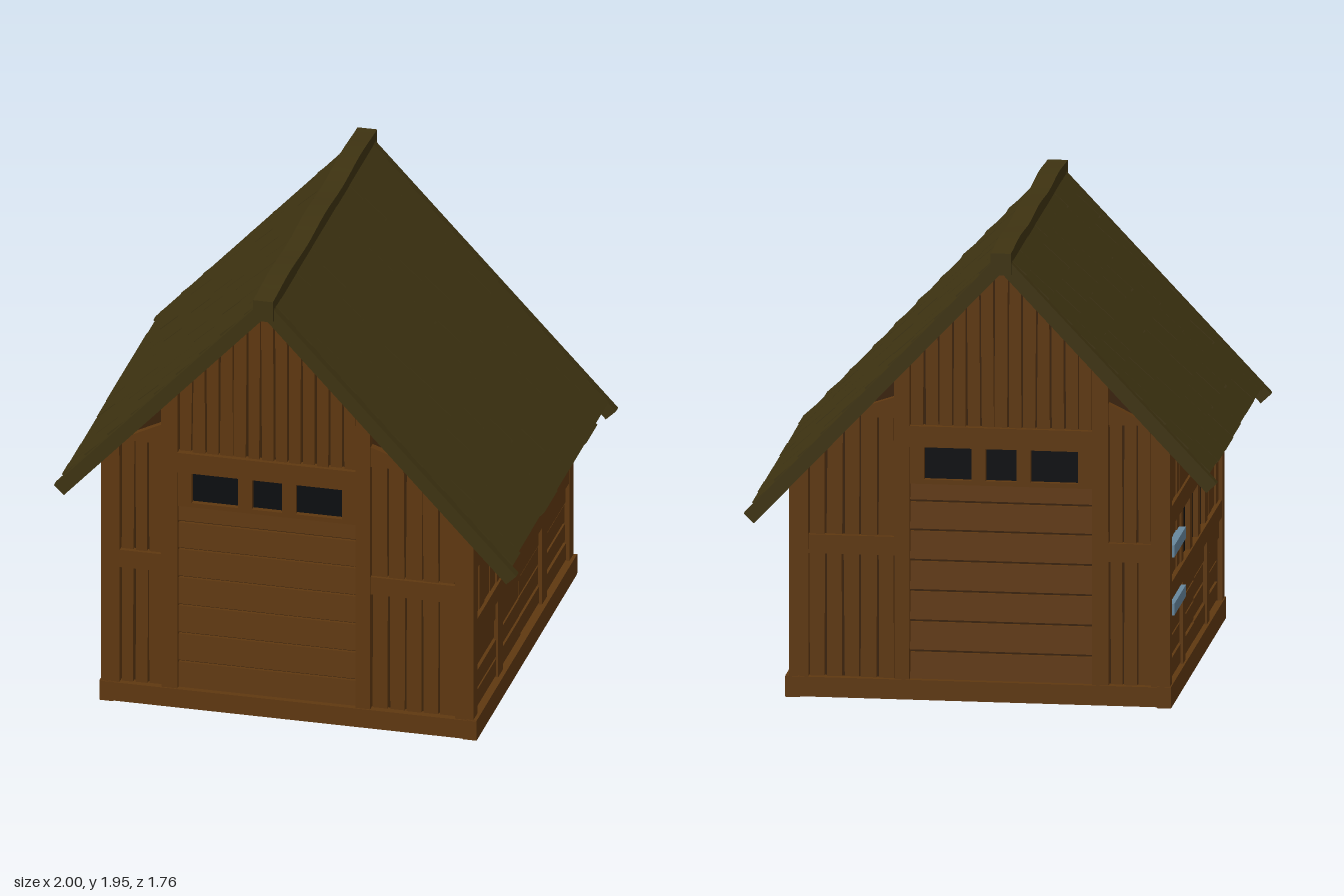
import * as THREE from 'three';

const mat = (name, color) => Object.assign(new THREE.MeshStandardMaterial({ color }), { name });
const wood = mat('brown wood', 0x5f3810);
const darkWood = mat('dark gap wood', 0x3a220a);
const shingleMat = mat('olive roof', 0x3e3311);
const dark = mat('dark glass', 0x0b0d10);
const steel = mat('blue steel', 0x66869c);

// Roof line: ridge slightly off centre, equal slopes
const RX = -0.09, RY = 1.94, SLOPE = 1.06, THETA = Math.atan(SLOPE);
const underRoof = (x) => RY - SLOPE * Math.abs(x - RX) - 0.06;

let seed = 7;
const rand = () => (seed = (seed * 16807) % 2147483647) / 2147483647;
const jit = (a) => (rand() - 0.5) * 2 * a;

function box(parent, name, m, x0, x1, y0, y1, z0, z1) {
  const g = new THREE.BoxGeometry(Math.abs(x1 - x0), Math.abs(y1 - y0), Math.abs(z1 - z0));
  const mesh = new THREE.Mesh(g, m);
  mesh.position.set((x0 + x1) / 2, (y0 + y1) / 2, (z0 + z1) / 2);
  mesh.name = name;
  parent.add(mesh);
  return mesh;
}

// Upright board on a gable, its top cut to the roof line
function gableBoard(parent, s, name, m, x0, x1, y0, y1, zFront, depth = 0.04, wobble = 0) {
  const pts = [[x0 + jit(wobble), y0], [x1 + jit(wobble), y0], [x1 + jit(wobble), Math.min(y1, underRoof(x1))]];
  if (x0 < RX && x1 > RX && y1 > underRoof(RX)) pts.push([RX, underRoof(RX)]);
  pts.push([x0 + jit(wobble), Math.min(y1, underRoof(x0))]);
  const shape = new THREE.Shape(pts.map((p) => new THREE.Vector2(...p)));
  const mesh = new THREE.Mesh(new THREE.ExtrudeGeometry(shape, { depth, bevelEnabled: false }), m);
  mesh.position.z = s > 0 ? zFront - depth : -zFront;
  mesh.name = name;
  parent.add(mesh);
}

function gablePlanks(parent, s, x0, x1, y0, y1, count) {
  const w = (x1 - x0) / count;
  for (let i = 0; i < count; i++) {
    const a = x0 + i * w;
    gableBoard(parent, s, 'verticalPlank', wood, a + 0.004, a + w - 0.004, y0, y1, 0.822 + jit(0.006), 0.03, 0.003);
  }
}

function gable(s) {
  const g = new THREE.Group();
  g.name = s > 0 ? 'frontGable' : 'backGable';
  gableBoard(g, s, 'gableBacking', darkWood, -0.78, 0.79, 0.05, 9, 0.805, 0.03);

  // Posts
  for (const [a, b] of [[-0.8, -0.72], [-0.54, -0.47], [0.3, 0.365], [0.73, 0.81]])
    gableBoard(g, s, 'post', wood, a, b, 0.05, 9, 0.845, 0.06, 0.002);

  // Side panels with cross rails
  for (const [a, b, n, top] of [[-0.72, -0.54, 3, -0.54], [0.365, 0.73, 5, 0.5]]) {
    gablePlanks(g, s, a, b, 0.08, 0.63, n);
    gablePlanks(g, s, a, b, 0.69, 1.22, n);
    gableBoard(g, s, 'crossRail', wood, a, b, 0.62, 0.7, 0.84);
    gableBoard(g, s, 'upperRail', wood, a, top, 1.21, 1.3, 0.84);
  }

  // Door of horizontal boards
  const rows = [0.09, 0.215, 0.345, 0.475, 0.605, 0.735, 0.86, 0.945];
  for (let i = 0; i < 7; i++) {
    const m = box(g, 'doorBoard', wood, -0.47, 0.3, rows[i], rows[i + 1] - 0.012, s * 0.795, s * 0.825);
    m.rotation.x = -s * 0.05;
  }

  // Window band and lintel
  box(g, 'doorWindowGlass', dark, -0.43, 0.26, 0.94, 1.1, s * 0.803, s * 0.811);
  for (const [a, b] of [[-0.47, -0.41], [-0.21, -0.15], [-0.02, 0.04], [0.24, 0.3]])
    box(g, 'windowMullion', wood, a, b, 0.94, 1.1, s * 0.79, s * 0.835);
  box(g, 'windowSill', wood, -0.47, 0.3, 0.93, 0.95, s * 0.79, s * 0.835);
  box(g, 'lintel', wood, -0.47, 0.3, 1.09, 1.18, s * 0.79, s * 0.845);

  // Boards under the peak
  gablePlanks(g, s, -0.47, 0.3, 1.17, 9, 13);
  return g;
}

function sideWall(s) {
  const g = new THREE.Group();
  g.name = s > 0 ? 'leftWall' : 'rightWall';
  const X = s > 0 ? 0.81 : -0.8, top = underRoof(X);
  const put = (name, m, inset, thick, y0, y1, z0, z1) =>
    box(g, name, m, X - s * (inset + thick), X - s * inset, y0, y1, z0, z1);

  put('wallBacking', darkWood, 0.035, 0.03, 0.05, top, -0.8, 0.8);
  for (const t of [-1, 1]) {
    put('cornerPost', wood, 0, 0.07, 0.05, top, t * 0.775, t * 0.845);
    put('lowerPost', wood, 0.004, 0.04, 0.08, 0.46, t * 0.33, t * 0.41);
    put('windowPost', wood, 0.012, 0.04, 0.5, 0.77, t * 0.33, t * 0.4);
    put('windowMullion', wood, 0.008, 0.04, 0.5, 0.77, t * 0.08, t * 0.16);
    // Upright boards beside the windows
    for (let i = 0; i < 4; i++) {
      const z = 0.4 + i * 0.094;
      put('verticalPlank', wood, 0.018 + jit(0.005), 0.03, 0.5, top, t * (z + 0.004), t * (z + 0.09));
    }
  }
  put('middleRail', wood, 0.002, 0.04, 0.45, 0.525, -0.775, 0.775);
  put('topRail', wood, 0.008, 0.04, 0.75, Math.min(0.84, top), -0.775, 0.775);
  put('windowGlass', dark, 0.029, 0.008, 0.52, 0.76, -0.34, 0.34);
  if (top > 0.9) put('eaveBoard', wood, 0.018, 0.03, 0.83, top, -0.4, 0.4);

  // Horizontal boards in the lower panels
  for (const [a, b] of [[-0.775, -0.41], [-0.33, 0], [0, 0.33], [0.41, 0.775]])
    for (let i = 0; i < 4; i++)
      put('horizontalPlank', wood, 0.018 + jit(0.005), 0.03, 0.1 + i * 0.088, 0.178 + i * 0.088 + jit(0.004), a + 0.001, b - 0.001);

  // Metal bars near the back corner
  if (s < 0) for (const y of [0.41, 0.66]) put('metalBar', steel, -0.01, 0.05, y - 0.025, y + 0.025, -0.78, -0.42);
  return g;
}

function roofSlope(s, length, rows) {
  const g = new THREE.Group();
  g.name = s > 0 ? 'leftRoof' : 'rightRoof';
  g.position.set(RX, RY, 0);
  g.rotation.z = -s * THETA;
  for (const t of [-1, 1]) box(g, 'bargeBoard', shingleMat, 0, s * length, -0.06, 0, t * 0.82, t * 0.86);
  box(g, 'roofDeck', shingleMat, 0, s * (length - 0.08), -0.055, -0.025, -0.825, 0.825);

  // Overlapping staggered shingles
  const pitch = (length - 0.045) / rows;
  for (let r = 0; r < rows; r++) {
    let z = -0.825;
    let w = r % 2 ? 0.13 : 0.22;
    while (z < 0.824) {
      let end = Math.min(z + w, 0.825);
      if (0.825 - end < 0.07) end = 0.825;
      const u1 = (r + 1) * pitch + jit(0.006), u0 = Math.max(0, r * pitch - 0.035);
      const m = box(g, 'shingle', shingleMat, s * u0, s * u1, -0.0245, 0.0005, z + 0.0015, end - 0.0015);
      m.position.y += jit(0.002);
      m.rotation.z = s * 0.08;
      z = end;
      w = 0.17 + rand() * 0.1;
    }
  }
  return g;
}

export function createModel() {
  const model = new THREE.Group();
  model.name = 'woodenShed';

  // Plinth ring and dark floor
  const base = new THREE.Group();
  base.name = 'plinth';
  for (const t of [-1, 1]) {
    box(base, 'plinthBeam', wood, -0.805, 0.825, 0.005, 0.09, t * 0.79, t * 0.852);
    box(base, 'plinthBeam', wood, t > 0 ? 0.765 : -0.805, t > 0 ? 0.825 : -0.745, 0, 0.092, -0.848, 0.848);
  }
  box(base, 'floor', dark, -0.76, 0.78, 0.075, 0.083, -0.8, 0.8);
  model.add(base);

  for (const s of [1, -1]) model.add(gable(s), sideWall(s));
  model.add(roofSlope(1, 1.588, 11), roofSlope(-1, 1.326, 9));

  // Gently wavy ridge beam
  const rg = new THREE.BoxGeometry(0.085, 0.1, 1.76, 1, 1, 24);
  const p = rg.attributes.position;
  for (let i = 0; i < p.count; i++)
    if (p.getY(i) > 0) p.setY(i, p.getY(i) + 0.006 * Math.cos((p.getZ(i) * Math.PI * 2) / 0.6));
  rg.computeVertexNormals();
  const ridge = new THREE.Mesh(rg, shingleMat);
  ridge.name = 'ridgeBeam';
  ridge.position.set(RX, 1.897, 0);
  model.add(ridge);
  return model;
}
